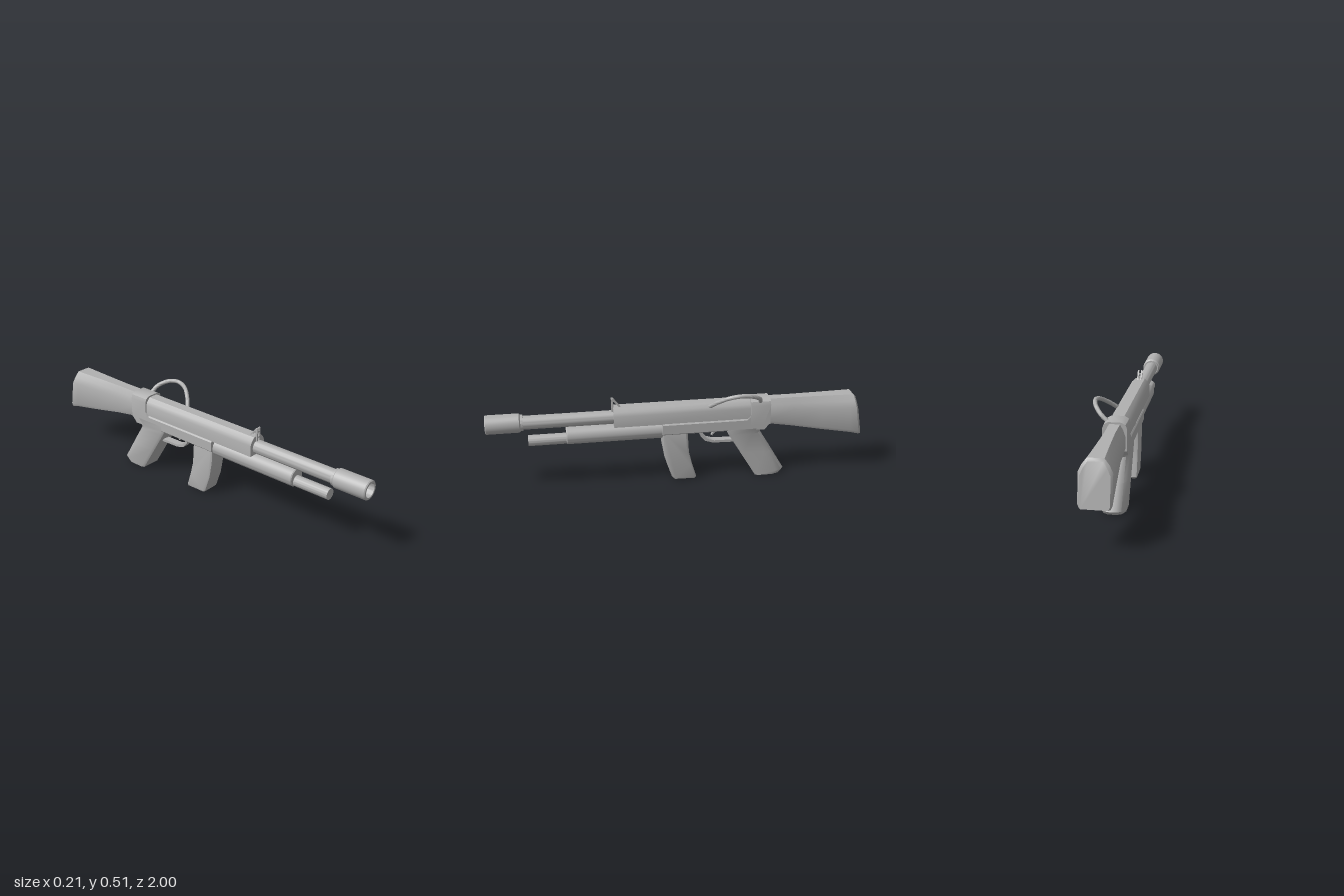
import * as THREE from 'three';
import { toCreasedNormals } from 'three/addons/utils/BufferGeometryUtils.js';

const CX = -0.03; // centre plane of the body

export function createModel() {
  const group = new THREE.Group();
  const gray = new THREE.MeshStandardMaterial({ color: 0xb0b0b0 });
  gray.name = 'gray';

  function add(name, geometry, crease = 0.6) {
    const mesh = new THREE.Mesh(toCreasedNormals(geometry, crease), gray);
    mesh.name = name;
    group.add(mesh);
    return mesh;
  }

  // Closed skin through rings of [x, y, z] points, with fan caps
  function loft(rings) {
    const n = rings[0].length, pos = rings.flat(2), tri = [];
    for (let r = 0; r < rings.length - 1; r++) {
      for (let i = 0; i < n; i++) {
        const a = r * n + i, b = r * n + (i + 1) % n;
        tri.push([a, b, b + n], [a, b + n, a + n]);
      }
    }
    const last = (rings.length - 1) * n;
    for (let i = 1; i < n - 1; i++) tri.push([0, i + 1, i], [last, last + i, last + i + 1]);
    const p = (i) => new THREE.Vector3().fromArray(pos, i * 3);
    let volume = 0;
    for (const [a, b, c] of tri) volume += p(a).dot(p(b).cross(p(c)));
    if (volume < 0) tri.forEach((t) => t.reverse());
    const g = new THREE.BufferGeometry();
    g.setAttribute('position', new THREE.Float32BufferAttribute(pos, 3));
    g.setIndex(tri.flat());
    return g;
  }

  // Solid of revolution along z from [radius, z] points, ordered back to front
  function turned(points, y) {
    const g = new THREE.LatheGeometry(points.map(([r, z]) => new THREE.Vector2(r, z)), 32);
    return g.rotateX(Math.PI / 2).translate(CX, y, 0);
  }

  // Side outline of [z, y] points, given thickness across x
  function sidePlate(points, width, bevel = 0, x = CX) {
    const shape = new THREE.Shape(points.map(([z, y]) => new THREE.Vector2(-z, y)));
    const depth = width - 2 * bevel;
    const g = new THREE.ExtrudeGeometry(shape, {
      depth, bevelEnabled: bevel > 0, bevelSize: bevel, bevelThickness: bevel,
      bevelOffset: -bevel, bevelSegments: 2,
    });
    return g.translate(0, 0, -depth / 2).rotateY(Math.PI / 2).translate(x, 0, 0);
  }

  // Cross-section of mirrored [halfX, y] points swept between two z values
  function prism(half, z0, z1) {
    const outline = [...half, ...half.map(([x, y]) => [-x, y]).reverse()];
    return loft([z0, z1].map((z) => outline.map(([x, y]) => [CX + x, y, z])));
  }

  function tube(points, radius) {
    const curve = new THREE.CatmullRomCurve3(points.map((p) => new THREE.Vector3(...p)));
    return new THREE.TubeGeometry(curve, 32, radius, 10);
  }

  // Barrel with a hollow, round-bottomed muzzle
  const bore = [];
  for (let i = 0; i <= 8; i++) {
    const a = (i / 8) * Math.PI / 2;
    bore.push([0.036 * Math.cos(a), 0.95 - 0.036 * Math.sin(a)]);
  }
  add('barrel', turned([[0, 0.3], [0.036, 0.3], [0.036, 0.83]], 0.375));
  add('muzzle', turned([[0.034, 0.808], [0.043, 0.808], [0.043, 0.82], [0.05, 0.826],
    [0.05, 0.995], [0.046, 1], [0.036, 1], ...bore], 0.375));

  // Tube and rod under the barrel
  add('lowerTube', turned([[0, 0.05], [0.048, 0.05], [0.048, 0.585], [0.044, 0.59], [0, 0.59]], 0.289));
  add('lowerRod', turned([[0, 0.58], [0.029, 0.58], [0.029, 0.787], [0, 0.787]], 0.272));

  // Receiver, lower frame and rear collar
  add('receiver', prism([[0.053, 0.335], [0.053, 0.395], [0.045, 0.415], [0.026, 0.434]], 0.342, -0.42));
  add('lowerFrame', prism([[0.054, 0.274], [0.06, 0.28], [0.06, 0.33], [0.054, 0.337]], 0.088, -0.42));
  add('collar', prism([[0.06, 0.30], [0.06, 0.41], [0.053, 0.43], [0.032, 0.442]], -0.385, -0.492));
  add('frameWeb', sidePlate([[-0.3, 0.28], [-0.46, 0.27], [-0.492, 0.31], [-0.492, 0.41], [-0.385, 0.41],
    [-0.385, 0.35], [-0.37, 0.335]], 0.12));

  // Grip: rings of y, front z and back z, with a rounded back
  const gripLevels = [[0, -0.42, -0.565], [0.02, -0.408, -0.583], [0.14, -0.335, -0.512],
    [0.25, -0.268, -0.445], [0.275, -0.255, -0.462], [0.305, -0.255, -0.49]];
  add('grip', loft(gripLevels.map(([y, f, b]) => {
    const half = [[0.052, f], [0.06, f - 0.015], [0.06, b + 0.05], [0.045, b + 0.015], [0.022, b]];
    return [...half, ...half.map(([x, z]) => [-x, z]).reverse()].map(([x, z]) => [CX + x, y, z]);
  })));

  // Curved magazine
  add('magazine', sidePlate([[0.088, 0.29], [0.084, 0.2], [0.068, 0.11], [0.038, 0.02], [0.022, 0.004],
    [-0.088, 0.002], [-0.096, 0.012], [-0.072, 0.09], [-0.055, 0.16], [-0.047, 0.29]], 0.1, 0.012), 0.5);

  // Stock: rings of z, half width, top, bottom and tilt
  const stockLevels = [[-0.47, 0.053, 0.433, 0.303, 0], [-0.62, 0.051, 0.433, 0.277, 0],
    [-0.78, 0.062, 0.433, 0.249, 0], [-0.92, 0.074, 0.433, 0.224, 0.02],
    [-0.953, 0.077, 0.433, 0.213, 0.034], [-0.965, 0.068, 0.42, 0.213, 0.035]];
  add('stock', loft(stockLevels.map(([z, w, t, b, tilt]) => {
    const half = [[0.9 * w, b], [w, b + 0.016], [w, t - 0.062], [0.8 * w, t - 0.03], [0.5 * w, t]];
    return [...half, ...half.map(([x, y]) => [-x, y]).reverse()]
      .map(([x, y]) => [CX + x, y, z - tilt * (t - y) / (t - b)]);
  })));

  // Trigger and its guard
  add('triggerGuard', sidePlate([[-0.115, 0.28], [-0.12, 0.24], [-0.145, 0.21], [-0.19, 0.196], [-0.31, 0.193],
    [-0.31, 0.207], [-0.195, 0.209], [-0.155, 0.221], [-0.134, 0.245], [-0.13, 0.28]], 0.04));
  add('trigger', sidePlate([[-0.185, 0.28], [-0.192, 0.255], [-0.18, 0.236], [-0.187, 0.234],
    [-0.203, 0.253], [-0.205, 0.28]], 0.016));

  // Carry handle leaning out to the left side
  add('carryHandle', tube([[0.008, 0.415, -0.165], [0.045, 0.45, -0.2], [0.083, 0.485, -0.255],
    [0.095, 0.497, -0.315], [0.083, 0.487, -0.375], [0.048, 0.457, -0.425], [0.01, 0.425, -0.437]], 0.011), 1);

  // Front sight: two braced posts joined by a bar
  for (const side of [-1, 1]) {
    add('sightPost', sidePlate([[0.35, 0.4], [0.35, 0.48], [0.341, 0.48], [0.3, 0.43], [0.308, 0.43],
      [0.34, 0.466], [0.34, 0.4]], 0.008, 0, CX + side * 0.009));
  }
  for (const y of [0.459, 0.43]) {
    add('sightBar', new THREE.BoxGeometry(0.014, 0.007, 0.01).translate(CX, y, 0.345));
  }
  return group;
}
